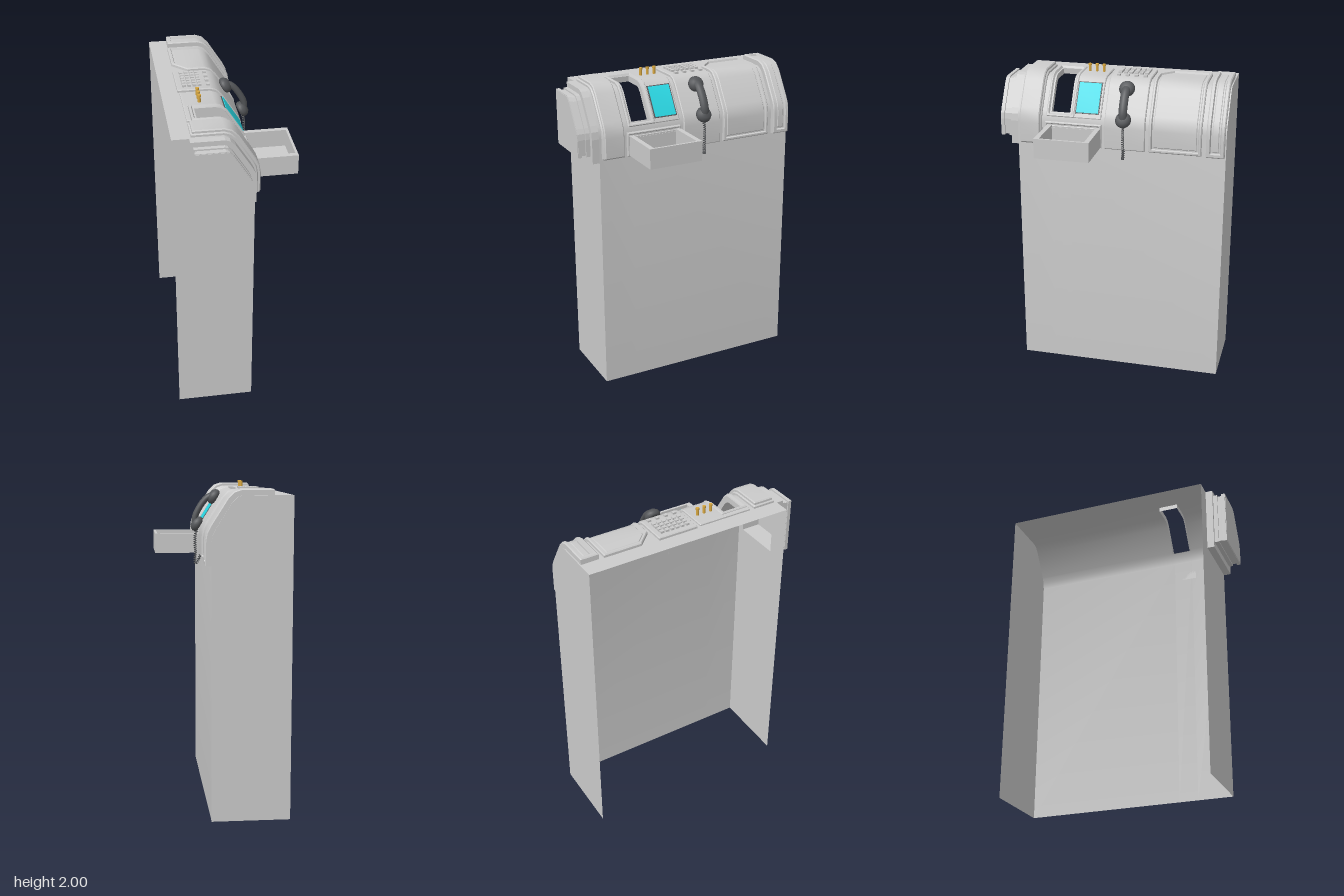
import * as THREE from 'three';
import { toCreasedNormals } from 'three/addons/utils/BufferGeometryUtils.js';

const mat = (color) => new THREE.MeshStandardMaterial({ color, side: THREE.DoubleSide });

// Side profile of the casing: over the top, down the slope, down the front wall
const PROFILE = [
  [-0.385, 1.94], [-0.09, 1.94], [-0.06, 1.93], [-0.03, 1.9], [0.065, 1.75], [0.083, 1.715], [0.09, 1.67], [0.09, 0],
].map(([x, y]) => new THREE.Vector2(x, y));
const segNormal = (i) => {
  const d = PROFILE[i + 1].clone().sub(PROFILE[i]).normalize();
  return new THREE.Vector2(-d.y, d.x);
};
// Mitred outward normals and running length at each profile point
const LAST = PROFILE.length - 1;
const NORMALS = PROFILE.map((p, i) => {
  const a = segNormal(Math.max(0, i - 1)), b = segNormal(Math.min(i, LAST - 1));
  return a.clone().add(b).divideScalar(1 + a.dot(b));
});
const RUN = [0];
for (let i = 1; i <= LAST; i++) RUN.push(RUN[i - 1] + PROFILE[i].distanceTo(PROFILE[i - 1]));

function onProfile(s, h) {
  let i = 0;
  while (i < LAST - 1 && s > RUN[i + 1]) i++;
  const t = (s - RUN[i]) / (RUN[i + 1] - RUN[i]);
  return PROFILE[i].clone().lerp(PROFILE[i + 1], t)
    .addScaledVector(NORMALS[i].clone().lerp(NORMALS[i + 1], t), h);
}
const sAtX = (x) => x - PROFILE[0].x;
function sAtY(y) {
  let i = 1;
  while (y < PROFILE[i + 1].y) i++;
  return RUN[i] + (RUN[i + 1] - RUN[i]) * (PROFILE[i].y - y) / (PROFILE[i].y - PROFILE[i + 1].y);
}

// Grid of quads bent around the profile
function wrapGrid(rows, cols, zAt, hAt, skip) {
  const pos = [], index = [];
  rows.forEach((s, i) => {
    for (let j = 0; j < cols; j++) {
      const p = onProfile(s, hAt(i, j));
      pos.push(p.x, p.y, zAt(s, j));
    }
  });
  for (let i = 0; i < rows.length - 1; i++) for (let j = 0; j < cols - 1; j++) {
    if (skip(i, j)) continue;
    const a = i * cols + j, b = a + cols;
    index.push(a, a + 1, b, a + 1, b + 1, b);
  }
  const g = new THREE.BufferGeometry();
  g.setAttribute('position', new THREE.Float32BufferAttribute(pos, 3));
  g.setIndex(index);
  return toCreasedNormals(g, 0.5);
}

// Raised panel; steps = [distance in from the edge, height]
function panel(s0, s1, z0, z1, steps, { cut = 0, open = false } = {}) {
  const n = steps.length, inner = steps[n - 1][0];
  const rows = steps.map(([d], k) => ({ s: s0 + d, k }));
  const mids = RUN.filter((s) => s > s0 + inner + 0.001 && s < s1 - inner - 0.001);
  if (cut) mids.push(s0 + cut);
  mids.sort((a, b) => a - b).forEach((s) => rows.push({ s, k: n - 1 }));
  for (let k = n - 1; k >= 0; k--) rows.push({ s: s1 - steps[k][0], k });
  const colK = (j) => Math.min(j, 2 * n - 1 - j);
  const right = (s) => z1 - Math.max(0, cut - (s - s0));
  return wrapGrid(rows.map((r) => r.s), 2 * n,
    (s, j) => (j < n ? z0 + steps[j][0] : right(s) - steps[2 * n - 1 - j][0]),
    (i, j) => steps[Math.min(rows[i].k, colK(j))][1],
    (i, j) => open && j === n - 1 && rows[i].k === n - 1 && rows[i + 1].k === n - 1);
}

// Closed side outline, offset from the profile by h
function outline(x0, y0, h) {
  const pts = [new THREE.Vector2(x0, y0), new THREE.Vector2(x0, PROFILE[0].y + h)];
  for (let i = 1; i < LAST; i++) pts.push(PROFILE[i].clone().addScaledVector(NORMALS[i], h));
  pts.push(new THREE.Vector2(PROFILE[LAST].x + h, y0));
  return pts;
}
function sideShape(outer, hole) {
  const s = new THREE.Shape(outer);
  if (hole) s.holes.push(new THREE.Path(hole));
  return s;
}

export function createModel() {
  const root = new THREE.Group();
  const grey = mat(0xcccccc), dark = mat(0x55575a), gold = mat(0xd9a840), cyan = mat(0x2ad8e4);
  const add = (name, geo, material = grey, x = 0, y = 0, z = 0, parent = root) => {
    const m = new THREE.Mesh(geo, material);
    m.name = name;
    m.position.set(x, y, z);
    parent.add(m);
    return m;
  };
  const bottom = sAtY(1.535);

  // Casing, open at the back and underneath, with the window cut out
  const win = { s0: sAtX(-0.245), s1: sAtY(1.715), z0: 0.23, z1: 0.41, rim: 0.03 };
  const h0 = win.s0 + win.rim, h1 = win.s1 - win.rim;
  const rows = [...RUN, h0, h1].sort((a, b) => a - b);
  const zs = [-0.725, win.z0 + win.rim, win.z1 - win.rim, 0.6];
  add('casing', wrapGrid(rows, 4, (s, j) => zs[j], () => 0,
    (i, j) => j === 1 && rows[i] >= h0 - 1e-6 && rows[i] < h1 - 1e-6));
  const capHole = outline(-0.255, 1.575, -0.045);
  add('plainSideWall', new THREE.ShapeGeometry(sideShape(outline(-0.385, 0, 0))), grey, 0, 0, -0.725);
  add('cappedSideWall', new THREE.ShapeGeometry(sideShape(outline(-0.385, 0, 0), capHole)), grey, 0, 0, 0.6);

  // Hollow stepped end cap
  [[0.6, 0.645, -0.285, 1.52, 0], [0.645, 0.672, -0.27, 1.56, -0.03], [0.672, 0.7, -0.262, 1.568, -0.039],
    [0.7, 0.722, -0.27, 1.56, -0.03], [0.722, 0.725, -0.266, 1.564, -0.034]].forEach(([za, zb, x, y, h], i) => {
    const shape = sideShape(outline(x, y, h), i < 4 ? capHole : null);
    add('endCapStep', new THREE.ExtrudeGeometry(shape, { depth: zb - za, bevelEnabled: false }), grey, 0, 0, za);
  });

  // Wrapped panels along the casing
  const framed = (h, w, drop) => [[0, 0], [0, h - 0.006], [0.006, h], [w, h], [w + 0.006, h - drop],
    [w + 0.014, h - drop], [w + 0.018, h - drop + 0.004]];
  add('leftBand', panel(sAtX(-0.275), bottom, 0.44, 0.585,
    [[0, 0], [0, 0.012], [0.008, 0.018], [0.008, 0.03], [0.014, 0.036]]));
  add('rightBand', panel(sAtX(-0.275), bottom, -0.718, -0.605, framed(0.036, 0.022, 0.014)));
  add('bigPanel', panel(sAtX(-0.28), bottom, -0.575, -0.245, framed(0.02, 0.016, 0.012), { cut: 0.09 }));
  add('phonePanel', panel(sAtX(-0.285), bottom, -0.222, 0.035, [[0, 0], [0, 0.012], [0.005, 0.017]]));
  add('trayPanel', panel(sAtY(1.685), bottom, 0.055, 0.42, framed(0.015, 0.01, 0.01)));
  const flat = [[0, 0], [0, 0.008], [0.005, 0.012]];
  add('screenPanel', panel(sAtX(-0.275), sAtY(1.715), 0.06, 0.235, flat));
  add('windowTopStrip', panel(sAtX(-0.275), win.s0, 0.23, 0.41, flat));
  add('windowFrame', panel(win.s0, win.s1, win.z0, win.z1,
    [[0, 0], [0, 0.012], [0.005, 0.018], [0.012, 0.018], [0.02, 0.006], [win.rim, 0.006], [win.rim, -0.03]], { open: true }));
  add('screenBezel', panel(sAtY(1.91), sAtY(1.74), 0.073, 0.227, [[0, 0], [0, 0.015]]), dark);
  add('screen', panel(sAtY(1.905), sAtY(1.745), 0.08, 0.22, [[0, 0], [0, 0.019]]), cyan);

  // Keypad: four columns of six, plus a column of four
  const key = new THREE.BoxGeometry(0.022, 0.016, 0.022);
  for (let r = 0; r < 6; r++) for (let c = 0; c < 4; c++)
    add('key', key, grey, -0.24 + c * 0.031, 1.962, -0.18 + r * 0.034);
  for (let r = 0; r < 4; r++) add('functionKey', key, grey, -0.095, 1.96, -0.182 + r * 0.057);

  // Three pegs
  for (let i = 0; i < 3; i++) {
    add('peg', new THREE.CylinderGeometry(0.009, 0.009, 0.05, 12), gold, -0.175, 1.97, 0.103 + i * 0.046);
    add('pegTip', new THREE.CylinderGeometry(0.011, 0.011, 0.012, 12), gold, -0.175, 1.994, 0.103 + i * 0.046);
  }

  // Open tray: floor and four walls
  const box = (name, w, h, d, x, y, z) => add(name, new THREE.BoxGeometry(w, h, d), grey, x, y, z);
  box('trayFloor', 0.285, 0.015, 0.345, 0.2375, 1.5475, 0.2325);
  [0.0755, 0.3895].forEach((z) => box('traySide', 0.285, 0.125, 0.031, 0.2375, 1.6025, z));
  box('trayFront', 0.015, 0.125, 0.345, 0.3775, 1.6025, 0.2325);
  box('trayBack', 0.012, 0.11, 0.345, 0.096, 1.595, 0.2325);

  // Handset lying along the slope: local x runs down it, local y points out
  const phone = new THREE.Group();
  phone.name = 'handset';
  phone.position.set(0.045, 1.805, -0.09);
  phone.rotation.z = Math.atan2(-0.847, 0.53);
  root.add(phone);
  const cup = new THREE.LatheGeometry([[0, 0], [0.036, 0], [0.046, 0.006], [0.05, 0.02], [0.045, 0.036], [0.03, 0.05], [0, 0.055]]
    .map(([x, y]) => new THREE.Vector2(x, y)), 24);
  [-0.1, 0.1].forEach((x) => add('handsetCup', cup, dark, x, 0.013, 0, phone));
  const grip = new THREE.CatmullRomCurve3([[-0.112, 0.04], [-0.07, 0.066], [0, 0.075], [0.07, 0.066], [0.112, 0.04]]
    .map(([x, y]) => new THREE.Vector3(x, y, 0)));
  const handle = add('handsetHandle', new THREE.TubeGeometry(grip, 24, 0.02, 12), dark, 0, 0, 0, phone);
  handle.scale.z = 1.35;

  // Coiled cord hanging from the handset and looping back
  const hang = new THREE.CatmullRomCurve3([[0.125, 1.71], [0.138, 1.66], [0.137, 1.56], [0.138, 1.487], [0.122, 1.505], [0.105, 1.545]]
    .map(([x, y]) => new THREE.Vector3(x, y, -0.09)));
  const coil = [];
  for (let i = 0; i <= 240; i++) {
    const t = i / 240, a = t * Math.PI * 2 * 24, p = hang.getPointAt(t), d = hang.getTangentAt(t);
    coil.push(new THREE.Vector3(p.x - d.y * 0.007 * Math.cos(a), p.y + d.x * 0.007 * Math.cos(a), p.z + 0.007 * Math.sin(a)));
  }
  add('cord', new THREE.TubeGeometry(new THREE.CatmullRomCurve3(coil), 480, 0.003, 5), dark);
  return root;
}
